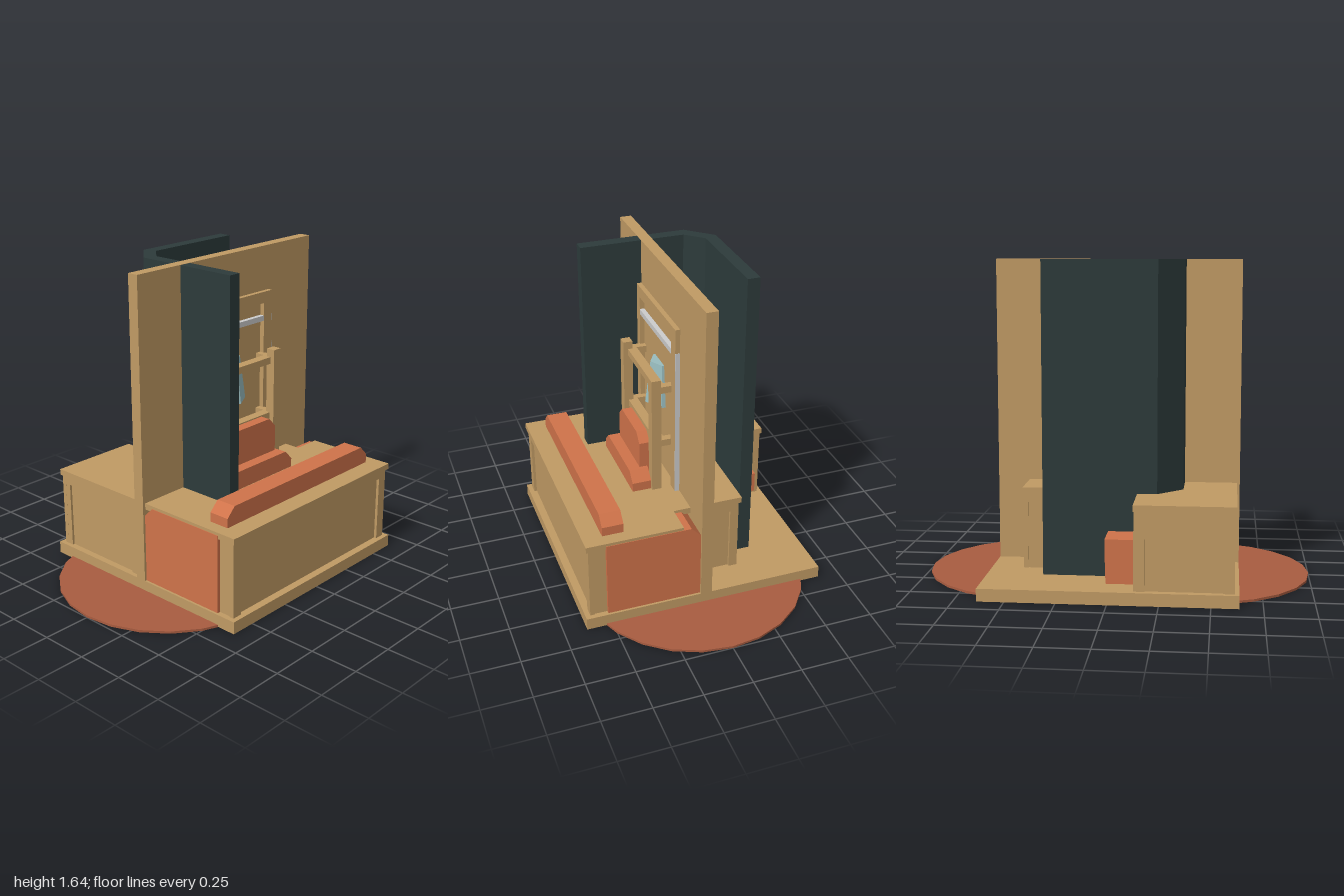
import * as THREE from 'three';

export function createModel() {
  const model = new THREE.Group();
  const material = (name, color, side = THREE.FrontSide) => {
    const m = new THREE.MeshStandardMaterial({ color, side });
    m.name = name;
    return m;
  };
  const wood = material('tan wood', 0xc09a64);
  const orange = material('orange', 0xcf734a);
  const rust = material('rust', 0xa85c40);
  const green = material('dark green', 0x2d3b3b);
  const teal = material('pale teal', 0x98bcbe);
  const grey = material('light grey', 0xcccccc);

  const add = (name, geometry, mat, parent = model) => {
    const mesh = new THREE.Mesh(geometry, mat);
    mesh.name = name;
    parent.add(mesh);
    return mesh;
  };
  // box from its limits on each axis
  const box = (name, mat, x0, x1, y0, y1, z0, z1, parent) => {
    const g = new THREE.BoxGeometry(x1 - x0, y1 - y0, z1 - z0);
    g.translate((x0 + x1) / 2, (y0 + y1) / 2, (z0 + z1) / 2);
    return add(name, g, mat, parent);
  };
  const polygon = (pts) => new THREE.Shape(pts.map(([a, b]) => new THREE.Vector2(a, b)));
  // floor plan in (x, z), raised from y0 to y1
  const plan = (name, mat, pts, y0, y1) => {
    const g = new THREE.ExtrudeGeometry(polygon(pts), { depth: y1 - y0, bevelEnabled: false });
    g.rotateX(Math.PI / 2).translate(0, y1, 0);
    return add(name, g, mat);
  };
  // block with chamfered upper corners, seen along z
  const cushion = (name, w, y0, y1, z0, z1, c) => {
    const pts = [[-w, y0], [w, y0], [w, y1 - c], [w - c, y1], [c - w, y1], [-w, y1 - c]];
    const g = new THREE.ExtrudeGeometry(polygon(pts), { depth: z1 - z0, bevelEnabled: false });
    g.translate(0, 0, z0);
    return add(name, g, orange);
  };

  // ground: base plate and a round apron on either side
  box('basePlate', wood, -0.635, 0.635, 0.001, 0.065, -0.635, 0.635);
  for (const s of [-1, 1]) {
    const g = new THREE.CylinderGeometry(0.58, 0.58, 0.012, 24).toNonIndexed();
    g.computeVertexNormals();
    g.translate(s * 0.42, 0.006, 0);
    add('roundApron', g, rust);
  }

  // dividing wall and the bent screen
  box('dividingWall', wood, -0.635, 0.635, 0.065, 1.645, -0.03, 0.03);
  plan('bentScreen', green, [
    [-0.35, 0.35], [-0.285, 0.35], [-0.285, -0.2], [-0.2, -0.29],
    [0.35, -0.29], [0.35, -0.355], [-0.225, -0.355], [-0.35, -0.225],
  ], 0.065, 1.644);

  // worktop running around the wall
  plan('worktop', wood, [
    [-0.62, 0.622], [0.62, 0.622], [0.62, 0.12], [0.47, 0.12], [0.47, -0.25],
    [-0.125, -0.25], [-0.125, -0.62], [-0.62, -0.62],
  ], 0.458, 0.49);

  // raised border on a cabinet face; the face lies in its own xy plane
  const border = (w, y0, y1, x, z, turn, t = 0.055) => {
    const frame = new THREE.Group();
    frame.name = 'cabinetBorder';
    const h = w / 2;
    for (const s of [-1, 1]) {
      const c = s * (h - t / 2);
      box('stile', wood, c - t / 2, c + t / 2, y0, y1, -0.012, 0.012, frame);
    }
    box('topRail', wood, t - h, h - t, y1 - 0.042, y1, -0.012, 0.012, frame);
    frame.position.set(x, 0, z);
    frame.rotation.y = turn;
    model.add(frame);
  };

  // front counter with its orange core showing at both ends
  box('frontCabinet', wood, -0.605, 0.605, 0.065, 0.458, 0.5, 0.595);
  border(1.22, 0.065, 0.458, 0, 0.598, 0);
  const core = new THREE.ExtrudeGeometry(
    polygon([[-0.52, 0.065], [-0.03, 0.065], [-0.03, 0.425], [-0.08, 0.475], [-0.52, 0.475]]),
    { depth: 1.246, bevelEnabled: false });
  core.rotateY(Math.PI / 2).translate(-0.623, 0, 0);
  add('counterCore', core, orange);

  // rear cabinets
  box('rearCabinet', wood, -0.6, -0.14, 0.065, 0.458, -0.6, -0.03);
  border(0.485, 0.065, 0.458, -0.37, -0.598, Math.PI);
  border(0.58, 0.065, 0.458, -0.6, -0.32, -Math.PI / 2);
  border(0.36, 0.065, 0.458, -0.14, -0.43, Math.PI / 2);
  box('rearLedge', wood, -0.14, 0.455, 0.065, 0.458, -0.23, -0.03);
  border(0.205, 0.065, 0.458, 0.457, -0.132, Math.PI / 2, 0.045);

  // stepped block behind the screen
  box('lowerStep', orange, -0.13, 0.02, 0.065, 0.182, -0.49, -0.26);
  box('upperStep', orange, -0.13, 0.02, 0.182, 0.297, -0.525, -0.26);

  // cushions on the worktop
  cushion('longCushion', 0.553, 0.49, 0.588, 0.41, 0.52, 0.05);
  cushion('seatCushion', 0.237, 0.49, 0.588, 0.16, 0.26, 0.05);
  cushion('backCushion', 0.17, 0.49, 0.775, 0.145, 0.2, 0.048);

  // doorway trim on both faces of the wall
  for (const s of [-1, 1]) {
    const a = Math.min(s * 0.03, s * 0.055), b = Math.max(s * 0.03, s * 0.055);
    box('doorHead', wood, -0.302, 0.302, 1.35, 1.41, a, b);
    box('greyRail', grey, -0.24, 0.24, 1.255, 1.283, a, b);
    for (const t of [-1, 1]) {
      const c = t * 0.271;
      box('doorJamb', wood, c - 0.031, c + 0.031, 0.49, 1.35, a, b);
      const e = t * 0.3025;
      box('greyJambFace', grey, e - 0.001, e + 0.001, 0.49, 1.283, a, b);
    }
  }

  // four-post bell frame
  for (const s of [-1, 1]) {
    const x = s * 0.228, z = s * 0.135;
    for (const t of [-1, 1]) {
      box('bellPost', wood, x - 0.026, x + 0.026, 0.49, 1.123, t * 0.135 - 0.025, t * 0.135 + 0.025);
    }
    for (const y of [0.74, 1.045]) {
      const c = s * 0.11;
      box('crossBeam', wood, -0.21, 0.21, y, y + 0.036, c - 0.025, c + 0.025);
      box('sideBeam', wood, x - 0.02, x + 0.02, y, y + 0.036, -0.12, 0.12);
    }
    // small cone at the foot of the frame
    const cone = new THREE.ConeGeometry(0.032, 0.055, 6).toNonIndexed();
    cone.computeVertexNormals();
    cone.translate(0, 0.5175, s * 0.115);
    add('footCone', cone, teal);
  }

  // six-sided bell
  const bell = new THREE.CylinderGeometry(0.08, 0.11, 0.23, 6).toNonIndexed();
  bell.computeVertexNormals();
  bell.translate(0, 0.985, 0);
  add('bell', bell, teal);

  return model;
}
